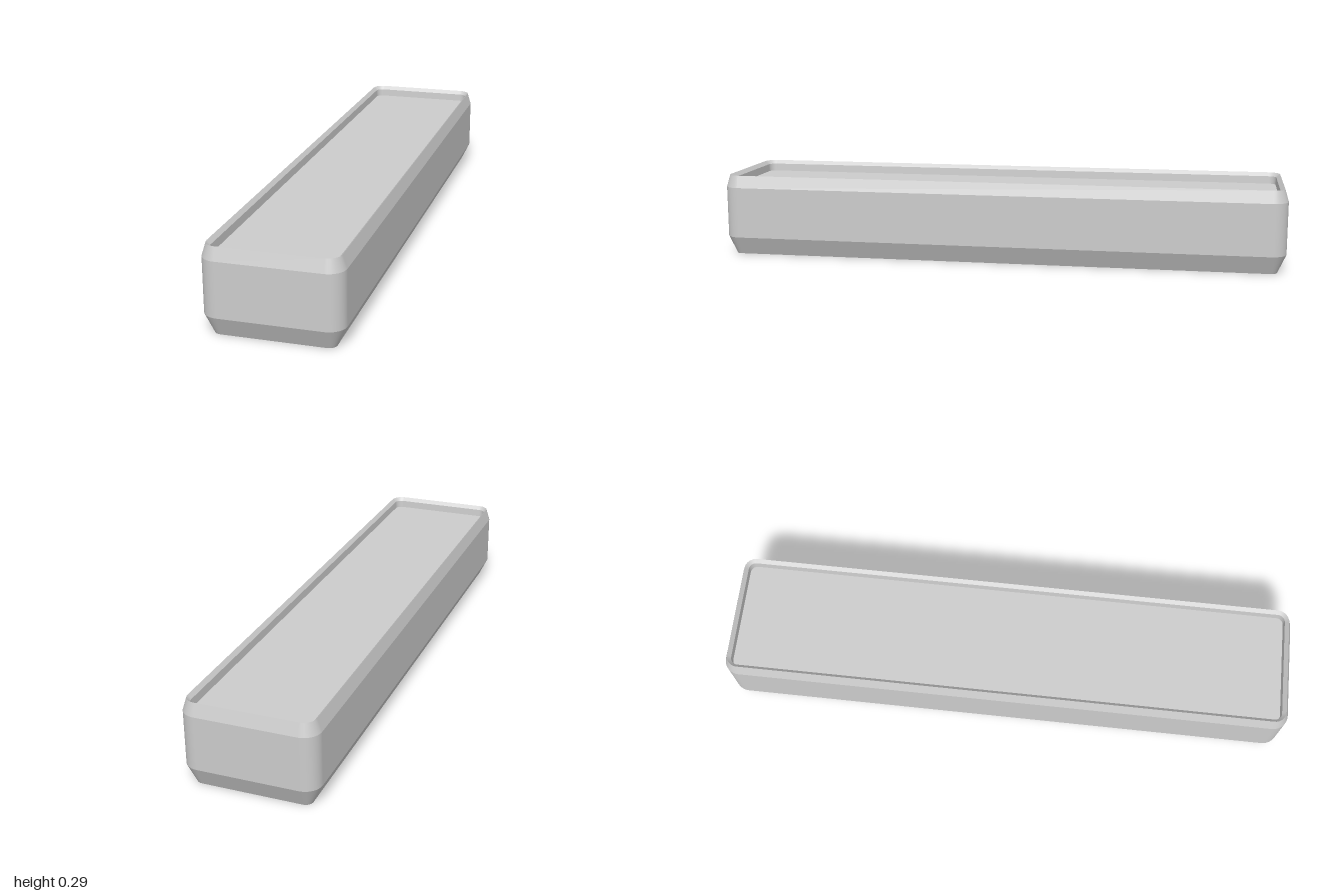
import * as THREE from 'three';

const CORNER_STEPS = 8;

// Points and outward directions around a rounded rectangle, with the first point repeated
function ring(halfW, halfL, r) {
  const pts = [];
  const corners = [[1, 1], [-1, 1], [-1, -1], [1, -1]];
  corners.forEach(([sx, sz], k) => {
    for (let i = 0; i <= CORNER_STEPS; i++) {
      const a = (k + i / CORNER_STEPS) * Math.PI / 2;
      const c = Math.cos(a), s = Math.sin(a);
      pts.push({ x: sx * (halfW - r) + r * c, z: sz * (halfL - r) + r * s, c, s });
    }
  });
  pts.push(pts[0]);
  return pts;
}

// One crisp-edged band between two rounded rectangles, smooth around its corners
function band(a, b, material) {
  const lower = ring(a.w, a.l, a.r), upper = ring(b.w, b.l, b.r);
  const out = b.w - a.w, rise = b.y - a.y, len = Math.hypot(out, rise);
  const pos = [], nor = [], idx = [];
  lower.forEach((p, i) => {
    const q = upper[i];
    pos.push(p.x, a.y, p.z, q.x, b.y, q.z);
    for (let k = 0; k < 2; k++) nor.push(p.c * rise / len, -out / len, p.s * rise / len);
    if (i < lower.length - 1) {
      const j = i * 2;
      idx.push(j, j + 1, j + 2, j + 2, j + 1, j + 3);
    }
  });
  const g = new THREE.BufferGeometry();
  g.setAttribute('position', new THREE.Float32BufferAttribute(pos, 3));
  g.setAttribute('normal', new THREE.Float32BufferAttribute(nor, 3));
  g.setIndex(idx);
  return new THREE.Mesh(g, material);
}

export function createModel() {
  const model = new THREE.Group();
  model.name = 'longTray';
  const material = new THREE.MeshStandardMaterial({ color: 0xcccccc, side: THREE.DoubleSide });

  // Thin shell, open below: lower bevel, wall, upper bevel, sloping lip, inside of lip
  const profile = [
    { w: 0.192, l: 0.971, r: 0.024, y: 0 },
    { w: 0.223, l: 1.0, r: 0.055, y: 0.065 },
    { w: 0.223, l: 1.0, r: 0.055, y: 0.247 },
    { w: 0.209, l: 0.987, r: 0.041, y: 0.29 },
    { w: 0.197, l: 0.974, r: 0.026, y: 0.277 },
    { w: 0.195, l: 0.972, r: 0.024, y: 0.248 },
  ];
  const names = ['lowerBevel', 'wall', 'upperBevel', 'lip', 'innerLip'];
  const shell = new THREE.Group();
  shell.name = 'shell';
  names.forEach((name, i) => {
    const mesh = band(profile[i], profile[i + 1], material);
    mesh.name = name;
    shell.add(mesh);
  });
  model.add(shell);

  // Thin recessed top panel
  const halfW = 0.199, halfL = 0.976, top = 0.25, under = 0.236, skirtBottom = 0.165;
  const panel = new THREE.Mesh(new THREE.BoxGeometry(halfW * 2, top - under, halfL * 2), material);
  panel.name = 'topPanel';
  panel.position.y = (top + under) / 2;
  model.add(panel);

  // Thin skirt hanging below the panel
  const skirt = new THREE.Group();
  skirt.name = 'panelSkirt';
  for (let i = 0; i < 4; i++) {
    const onEnd = i % 2 === 0;
    const width = onEnd ? halfW * 2 : halfL * 2;
    const side = new THREE.Mesh(new THREE.PlaneGeometry(width, under - skirtBottom), material);
    side.name = onEnd ? 'skirtEnd' : 'skirtSide';
    side.rotation.y = i * Math.PI / 2;
    side.position.y = (under + skirtBottom) / 2;
    side.translateZ(onEnd ? halfL : halfW);
    skirt.add(side);
  }
  model.add(skirt);
  return model;
}
